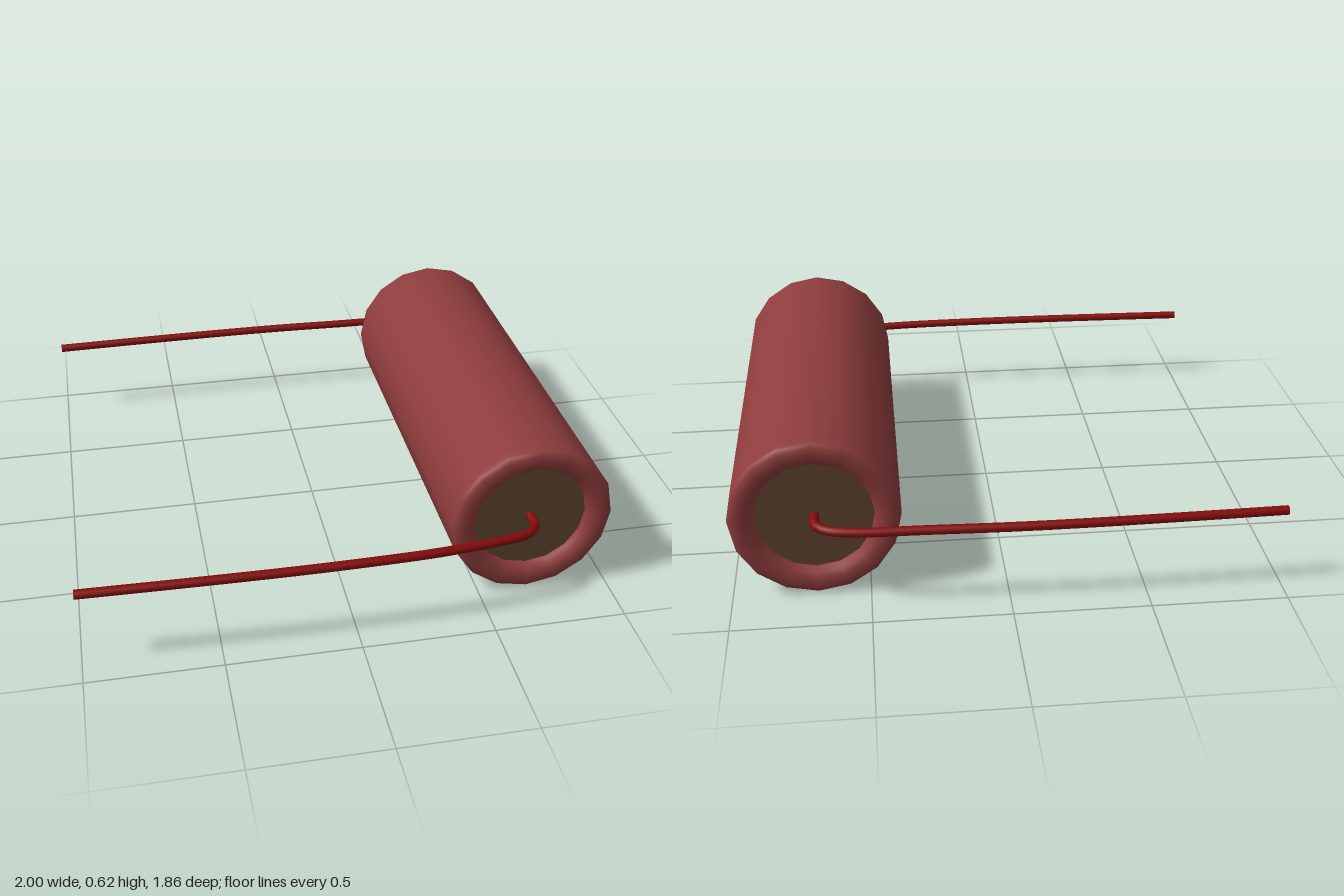
import * as THREE from 'three';

const CX = 0.69, CY = 0.314, CZ = -0.012; // centre of the body
const HALF = 0.797, R = 0.31, SIDES = 16;

export function createModel() {
  const group = new THREE.Group();
  const add = (name, geometry, color) => {
    const material = new THREE.MeshStandardMaterial({ color });
    const mesh = new THREE.Mesh(geometry, material);
    mesh.name = name;
    group.add(mesh);
    return mesh;
  };

  // Tubular body with rounded rims that turn inward to a recessed end
  const rim = [ // radius, distance from the end
    [0.215, 0.05], [0.217, 0.03], [0.228, 0.012], [0.25, 0.002], [0.275, 0],
    [0.295, 0.005], [0.306, 0.015], [R, 0.03], [R, 0.06],
  ];
  const profile = [
    ...rim.map(([r, d]) => new THREE.Vector2(r, -HALF + d)),
    ...rim.slice().reverse().map(([r, d]) => new THREE.Vector2(r, HALF - d)),
  ];
  const bodyGeometry = new THREE.LatheGeometry(profile, SIDES);
  bodyGeometry.rotateX(Math.PI / 2);
  add('body', bodyGeometry, 0x8e3c3c).position.set(CX, CY, CZ);

  // Bent lead, listed from inside the body to the free tip: x, z
  const leadPath = [
    [0.69, 0.75], [0.69, 0.805], [0.672, 0.842], [0.63, 0.867], [0.54, 0.884],
    [0.3, 0.9], [0, 0.909], [-0.25, 0.91], [-0.6, 0.905], [-1, 0.896],
  ];

  for (const [side, label] of [[1, 'front'], [-1, 'back']]) {
    // Recessed end disc
    const disc = add(label + 'EndCap', new THREE.CircleGeometry(0.22, SIDES), 0x5f452d);
    disc.geometry.rotateZ(Math.PI / 2);
    if (side < 0) disc.rotation.y = Math.PI;
    disc.position.set(CX, CY, CZ + side * (HALF - 0.045));

    // Wire lead; the bend follows the body's small offset in z
    const curve = new THREE.CatmullRomCurve3(leadPath.map(([x, z]) =>
      new THREE.Vector3(x, CY, side * z + (x > 0.5 ? CZ : CZ / 4))));
    add(label + 'Lead', new THREE.TubeGeometry(curve, 64, 0.0175, 8), 0x850a0a);

    // Flat end of the lead
    const tip = add(label + 'LeadTip', new THREE.CircleGeometry(0.0175, 8), 0x850a0a);
    tip.rotation.y = -Math.PI / 2;
    tip.position.copy(curve.getPoint(1));
  }
  return group;
}
